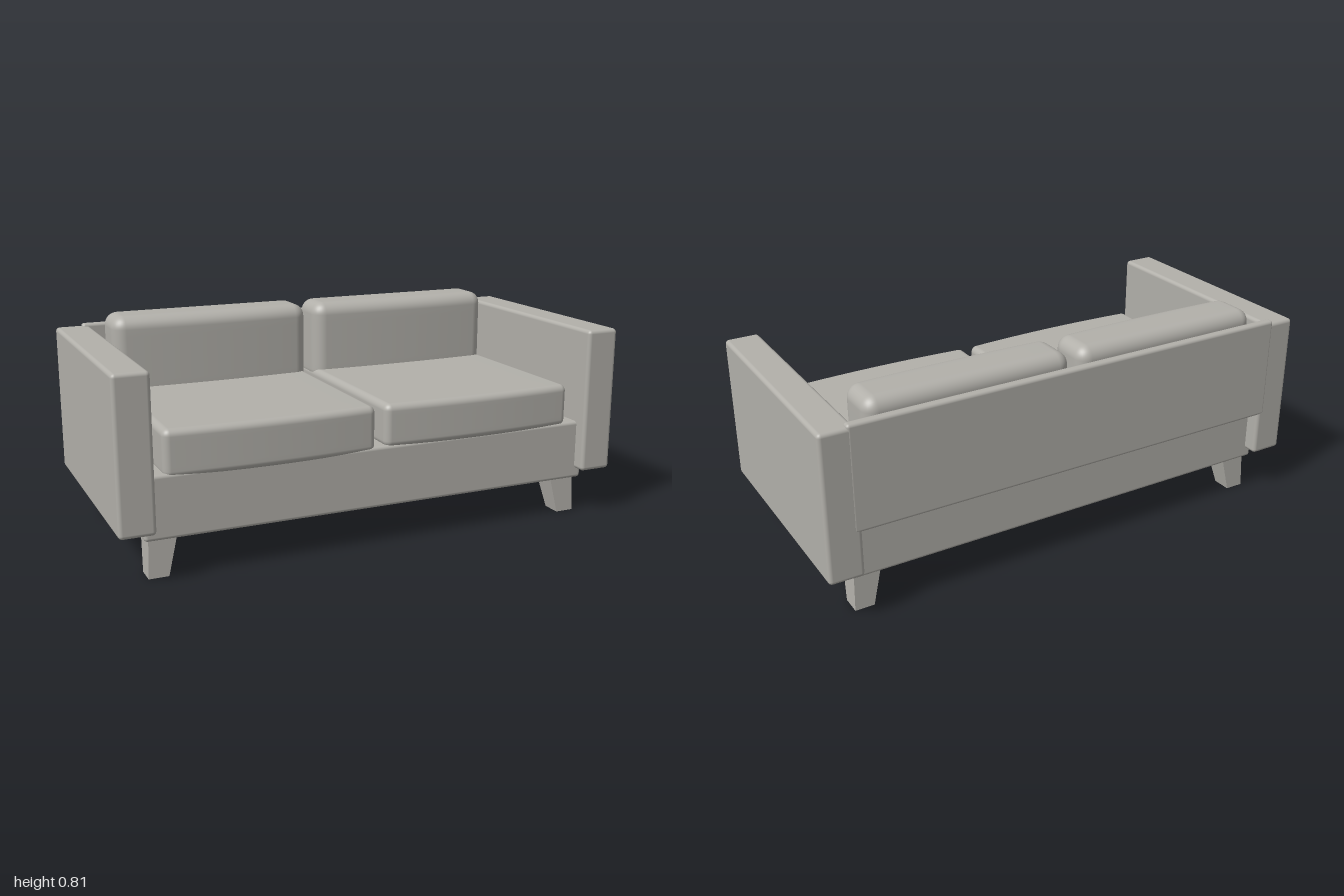
import * as THREE from 'three';
import { mergeVertices } from 'three/addons/utils/BufferGeometryUtils.js';
import { RoundedBoxGeometry } from 'three/addons/geometries/RoundedBoxGeometry.js';

// Rounded box given by its min and max corners
function block(min, max, radius) {
  const size = max.map((v, i) => v - min[i]);
  const geo = new RoundedBoxGeometry(...size, 3, radius);
  geo.translate(...min.map((v, i) => (v + max[i]) / 2));
  return geo;
}

// Soft box with rounded edges and a front (+z) face that bulges forward
function cushionGeometry(min, max, radius, bulge) {
  const N = 18, K = 5; // segments per side, of which K cover each rounded edge
  let geo = new THREE.BoxGeometry(N, N, N, N, N, N);
  geo.deleteAttribute('normal');
  geo.deleteAttribute('uv');
  geo = mergeVertices(geo);
  const half = max.map((v, i) => (v - min[i]) / 2);
  const spread = (t, h) => {
    const a = Math.abs(t), flat = N / 2 - K;
    const d = a <= flat ? (a / flat) * (h - radius) : h - radius + radius * Math.tan((a - flat) / K * Math.PI / 4);
    return Math.sign(t) * d;
  };
  const pos = geo.attributes.position;
  const p = new THREE.Vector3(), inner = new THREE.Vector3();
  const limit = new THREE.Vector3(...half).subScalar(radius);
  for (let i = 0; i < pos.count; i++) {
    p.set(spread(pos.getX(i), half[0]), spread(pos.getY(i), half[1]), spread(pos.getZ(i), half[2]));
    inner.copy(p).clamp(limit.clone().negate(), limit);
    p.sub(inner).setLength(radius).add(inner);
    const u = p.x / half[0];
    if (p.z > 0) p.z += bulge * (1 - u * u) * (p.z / half[2]);
    pos.setXYZ(i, p.x, p.y, p.z);
  }
  geo.translate(...min.map((v, i) => (v + max[i]) / 2));
  geo.computeVertexNormals();
  return geo;
}

// Tapered square leg whose foot is smaller and set towards the outer corner
function legGeometry(sx, sz) {
  const geo = new THREE.BoxGeometry(0.105, 0.155, 0.1).toNonIndexed();
  const pos = geo.attributes.position;
  for (let i = 0; i < pos.count; i++) {
    const top = pos.getY(i) > 0;
    const outX = pos.getX(i) * sx > 0, outZ = pos.getZ(i) * sz > 0;
    const x = top ? (outX ? 0.88 : 0.775) : (outX ? 0.886 : 0.812);
    const z = top ? (outZ ? 0.384 : 0.282) : (outZ ? 0.39 : 0.314);
    pos.setXYZ(i, sx * x, top ? 0.155 : 0, sz * z);
  }
  geo.computeVertexNormals();
  return geo;
}

export function createModel() {
  const model = new THREE.Group();
  model.name = 'sofa';
  const fabric = new THREE.MeshStandardMaterial({ color: 0xb2b0aa });
  fabric.name = 'warm grey';
  const add = (name, geo) => {
    const mesh = new THREE.Mesh(geo, fabric);
    mesh.name = name;
    model.add(mesh);
  };

  // Frame
  add('base', block([-0.9, 0.145, -0.412], [0.9, 0.38, 0.415], 0.013));
  add('backPanel', block([-0.9, 0.36, -0.468], [0.9, 0.765, -0.432], 0.012));
  add('rightArm', block([-1, 0.185, -0.467], [-0.868, 0.755, 0.467], 0.015));
  add('leftArm', block([0.868, 0.185, -0.467], [1, 0.755, 0.467], 0.015));

  // Cushions, one pair on each half
  for (const [side, x0, x1, bottom] of [['right', -0.822, -0.02, 0.36], ['left', 0.018, 0.818, 0.368]]) {
    add(side + 'SeatCushion', cushionGeometry([x0, bottom, -0.42], [x1, 0.535, 0.412], 0.026, 0.017));
    add(side + 'BackCushion', cushionGeometry([x0, 0.48, -0.43], [x1, 0.813, -0.24], 0.05, 0.014));
  }

  // Legs
  for (const sx of [-1, 1]) {
    for (const sz of [-1, 1]) {
      add((sz > 0 ? 'front' : 'back') + (sx > 0 ? 'Left' : 'Right') + 'Leg', legGeometry(sx, sz));
    }
  }
  return model;
}
